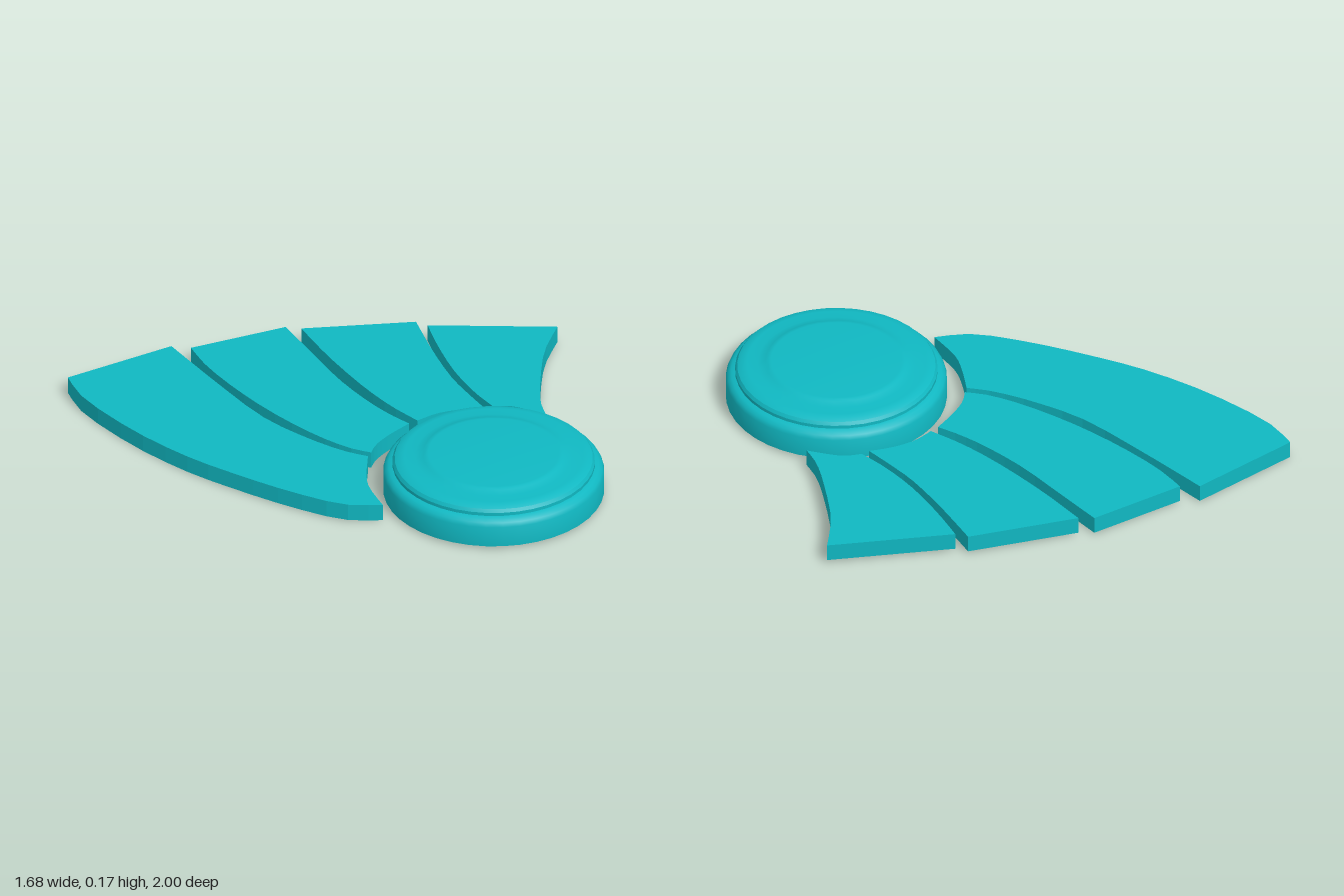
import * as THREE from 'three';
import { toCreasedNormals } from 'three/addons/utils/BufferGeometryUtils.js';

const material = new THREE.MeshStandardMaterial({ color: 0x10b8c2 });
const THICKNESS = 0.067;

// Blade outlines as [x, z]: left side (inner to outer), right side (outer to inner), inner arc back to the start
const BLADES = [
  {
    left: [[-0.49, 0.47], [-0.6, 0.365], [-0.69, 0.16], [-0.763, -0.074], [-0.815, -0.29], [-0.842, -0.55], [-0.831, -0.84], [-0.778, -1]],
    right: [[-0.34, -0.913], [-0.383, -0.607], [-0.414, -0.317], [-0.393, -0.106], [-0.35, 0.07], [-0.303, 0.17]],
    inner: [[-0.393, 0.265], [-0.446, 0.343]],
  },
  {
    left: [[-0.277, 0.158], [-0.319, 0.07], [-0.351, -0.08], [-0.367, -0.29], [-0.361, -0.5], [-0.335, -0.71], [-0.293, -0.855]],
    right: [[0.071, -0.733], [0.024, -0.528], [-0.024, -0.317], [-0.045, -0.13], [-0.045, 0], [-0.034, 0.095]],
    inner: [[-0.14, 0.106], [-0.224, 0.127]],
  },
  {
    left: [[0.003, 0.1], [-0.003, -0.05], [0.013, -0.237], [0.055, -0.475], [0.108, -0.686]],
    right: [[0.462, -0.438], [0.372, -0.237], [0.303, -0.053], [0.272, 0.08], [0.25, 0.2]],
    inner: [[0.177, 0.148], [0.092, 0.11]],
  },
  {
    left: [[0.282, 0.21], [0.298, 0.08], [0.34, -0.08], [0.409, -0.25], [0.478, -0.39]],
    right: [[0.836, -0.06], [0.683, 0.042], [0.53, 0.195], [0.44, 0.3], [0.393, 0.385]],
    inner: [[0.361, 0.306], [0.33, 0.25]],
  },
];

const toVectors = (points) => points.map(([x, z]) => new THREE.Vector2(x, -z));

// Flat slab with curved sides and a straight outer end, on a very slight slope
function makeBlade({ left, right, inner }) {
  const [start, ...leftRest] = toVectors(left);
  const [corner, ...rightRest] = toVectors(right);
  const shape = new THREE.Shape();
  shape.moveTo(start.x, start.y);
  shape.splineThru(leftRest);
  shape.lineTo(corner.x, corner.y);
  shape.splineThru(rightRest);
  shape.splineThru([...toVectors(inner), start]);

  const geometry = new THREE.ExtrudeGeometry(shape, { depth: THICKNESS, bevelEnabled: false, curveSegments: 2 });
  geometry.rotateX(-Math.PI / 2);
  const position = geometry.attributes.position;
  for (let i = 0; i < position.count; i++) {
    position.setY(i, position.getY(i) + 0.007 + 0.007 * position.getX(i));
  }
  geometry.computeVertexNormals();
  return new THREE.Mesh(geometry, material);
}

// Round stepped button: rim, rounded shoulder, raised cap and centre disc
function makeHub() {
  const profile = [
    [0, 0.01], [0.415, 0.01], [0.415, 0.092], [0.408, 0.108], [0.395, 0.118], [0.38, 0.122],
    [0.38, 0.135], [0.372, 0.147], [0.355, 0.155], [0.335, 0.158], [0.295, 0.158],
    [0.265, 0.165], [0.257, 0.169], [0.245, 0.17], [0, 0.17],
  ].map(([r, y]) => new THREE.Vector2(r, y));
  const geometry = toCreasedNormals(new THREE.LatheGeometry(profile, 40), Math.PI / 6);
  const hub = new THREE.Mesh(geometry, material);
  hub.name = 'hub';
  hub.position.set(-0.035, 0, 0.58);
  return hub;
}

export function createModel() {
  const model = new THREE.Group();
  model.name = 'fanEmblem';
  model.add(makeHub());

  const fan = new THREE.Group();
  fan.name = 'fanBlades';
  BLADES.forEach((outline, i) => {
    const blade = makeBlade(outline);
    blade.name = `blade${i + 1}`;
    fan.add(blade);
  });
  model.add(fan);
  return model;
}
